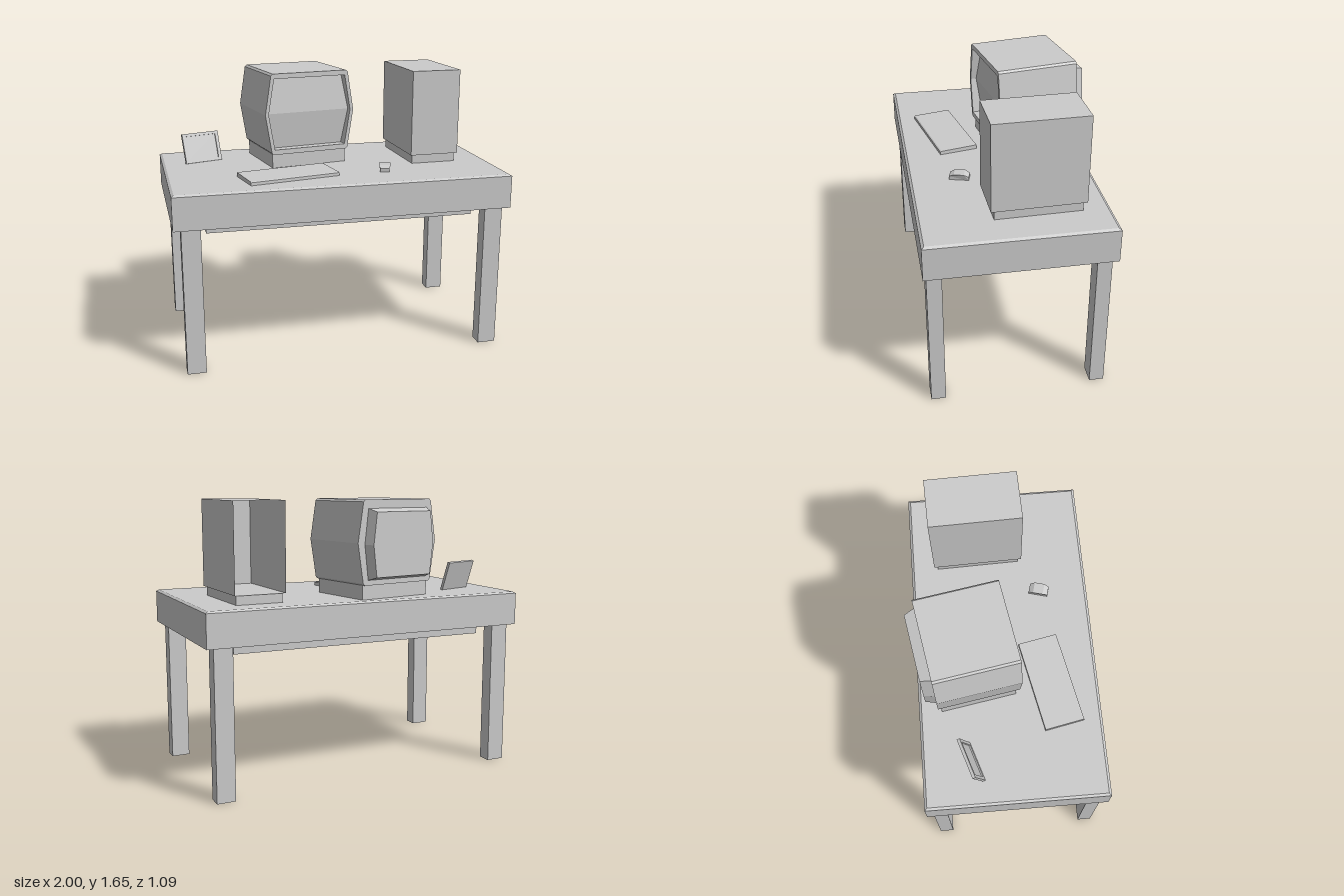
import * as THREE from 'three';

const grey = new THREE.MeshStandardMaterial({ color: 0xcccccc, flatShading: true });
const thin = new THREE.MeshStandardMaterial({ color: 0xcccccc, flatShading: true, side: THREE.DoubleSide });
const DESK = 1.08; // height of the work surface

function add(parent, name, geometry, x = 0, y = 0, z = 0, material = grey) {
  const mesh = new THREE.Mesh(geometry, material);
  mesh.name = name;
  mesh.position.set(x, y, z);
  parent.add(mesh);
  return mesh;
}

function addGroup(parent, name, x, z, turn) {
  const group = new THREE.Group();
  group.name = name;
  group.position.set(x, DESK, z);
  group.rotation.y = turn;
  parent.add(group);
  return group;
}

const box = (w, h, d) => new THREE.BoxGeometry(w, h, d);
const toShape = pts => new THREE.Shape(pts.map(p => new THREE.Vector2(...p)));
const extrude = (shape, depth) => new THREE.ExtrudeGeometry(shape, { depth, bevelEnabled: false });

// Box whose +z end is narrowed to its own size
function taperedBox(w, h, d, endW, endH) {
  const g = box(w, h, d), p = g.attributes.position;
  for (let i = 0; i < p.count; i++) {
    if (p.getZ(i) > 0) p.setXY(i, Math.sign(p.getX(i)) * endW / 2, Math.sign(p.getY(i)) * endH / 2);
  }
  return g;
}

// Six-sided outline, widest at mid height, with optional corner chamfers
function barrelOutline(top, mid, half, c = 0) {
  const right = c
    ? [[top - c, -half], [top, -half + c], [mid, 0], [top, half - c], [top - c, half]]
    : [[top, -half], [mid, 0], [top, half]];
  return [...right, ...right.map(([x, y]) => [-x, y]).reverse()];
}

function buildDesk(root) {
  const desk = new THREE.Group();
  desk.name = 'desk';
  root.add(desk);
  add(desk, 'deskTop', box(2, 0.195, 1.07), 0, 0.9725, 0.01);
  add(desk, 'deskTopBevel', taperedBox(2, 1.07, 0.01, 1.97, 1.04), 0, 1.075, 0.01).rotation.x = -Math.PI / 2;
  add(desk, 'underDrawer', box(1.61, 0.07, 0.8), 0, 0.845, 0.01);
  for (const x of [-0.9, 0.9]) {
    for (const z of [-0.4575, 0.4825]) add(desk, 'leg', box(0.11, 0.88, 0.085), x, 0.44, z);
  }
}

function buildMonitor(root) {
  const monitor = addGroup(root, 'monitor', -0.1525, -0.209, 0.168);
  const midY = 0.33, recess = 0.06;
  add(monitor, 'monitorBase', box(0.48, 0.086, 0.45), 0, 0.043, 0);

  // Casing with a recessed opening at the front
  const outline = barrelOutline(0.25, 0.288, 0.245, 0.012);
  add(monitor, 'monitorCasing', extrude(toShape(outline), 0.49 - recess - 0.01), 0, midY, -0.245);
  const rim = toShape(outline);
  rim.holes.push(new THREE.Path(barrelOutline(0.23, 0.267, 0.215).map(p => new THREE.Vector2(...p))));
  add(monitor, 'screenRim', extrude(rim, recess + 0.01), 0, midY, 0.245 - recess - 0.01);

  // Screen folded gently forward along its middle
  const screen = new THREE.PlaneGeometry(2, 0.43, 1, 2), p = screen.attributes.position;
  for (let i = 0; i < p.count; i++) {
    const middle = Math.abs(p.getY(i)) < 0.01;
    p.setX(i, p.getX(i) * (middle ? 0.267 : 0.23));
    p.setZ(i, middle ? 0.025 : 0);
  }
  add(monitor, 'screen', screen, 0, midY, 0.245 - recess);

  // Rear housing: lofted between a wide and a narrow outline
  const hump = extrude(toShape(barrelOutline(0.215, 0.24, 0.205)), 0.06);
  const h = hump.attributes.position;
  for (let i = 0; i < h.count; i++) {
    if (h.getZ(i) < 0.01) h.setXY(i, h.getX(i) * 0.92, h.getY(i) * 0.91);
  }
  hump.computeVertexNormals();
  add(monitor, 'rearHousing', hump, 0, midY - 0.01, -0.305);
}

function buildTower(root) {
  const tower = addGroup(root, 'computerTower', 0.645, -0.115, 0.028);
  add(tower, 'towerBase', box(0.28, 0.055, 0.5), 0, 0.0275, 0);
  // Case is a shell without its back panel
  const shell = box(0.306, 0.52, 0.54);
  shell.setIndex([...shell.index.array].slice(0, 30));
  add(tower, 'towerCase', shell, 0, 0.315, 0, thin);
}

function buildSmallItems(root) {
  const keyboard = addGroup(root, 'keyboard', -0.298, 0.265, 0.2);
  const keys = toShape([[-0.118, 0], [0.118, 0], [0.118, 0.018], [0.11, 0.022], [-0.118, 0.025]]);
  add(keyboard, 'keyboardBody', extrude(keys, 0.553), 0.2765, 0, 0).rotation.y = -Math.PI / 2;

  // Mouse with a raised, sloping back
  const mouse = addGroup(root, 'mouse', 0.3, 0.25, -0.27);
  const side = toShape([[-0.058, 0], [0.058, 0], [0.058, 0.022], [0.03, 0.036], [-0.03, 0.036], [-0.058, 0.02]]);
  const body = extrude(side, 0.07), p = body.attributes.position;
  for (let i = 0; i < p.count; i++) {
    if (Math.abs(p.getX(i)) > 0.05) p.setZ(i, 0.035 + (p.getZ(i) - 0.035) * 0.8);
  }
  add(mouse, 'mouseBody', body, 0.035, 0, 0).rotation.y = -Math.PI / 2;

  // Picture frame leaning backwards
  const stand = addGroup(root, 'pictureFrame', -0.742, -0.212, 0.31);
  const lean = new THREE.Group();
  lean.name = 'leaningFrame';
  lean.rotation.x = -0.31;
  stand.add(lean);
  const rect = (w, a, b) => [[-w, a], [w, a], [w, b], [-w, b]];
  const border = toShape(rect(0.12, 0, 0.185));
  border.holes.push(new THREE.Path(rect(0.1, 0.018, 0.168).map(q => new THREE.Vector2(...q))));
  add(lean, 'frameBorder', extrude(border, 0.018), 0, 0, -0.009);
  add(lean, 'picture', box(0.202, 0.152, 0.01), 0, 0.093, -0.004);
}

export function createModel() {
  const root = new THREE.Group();
  root.name = 'computerDesk';
  buildDesk(root);
  buildMonitor(root);
  buildTower(root);
  buildSmallItems(root);
  return root;
}
